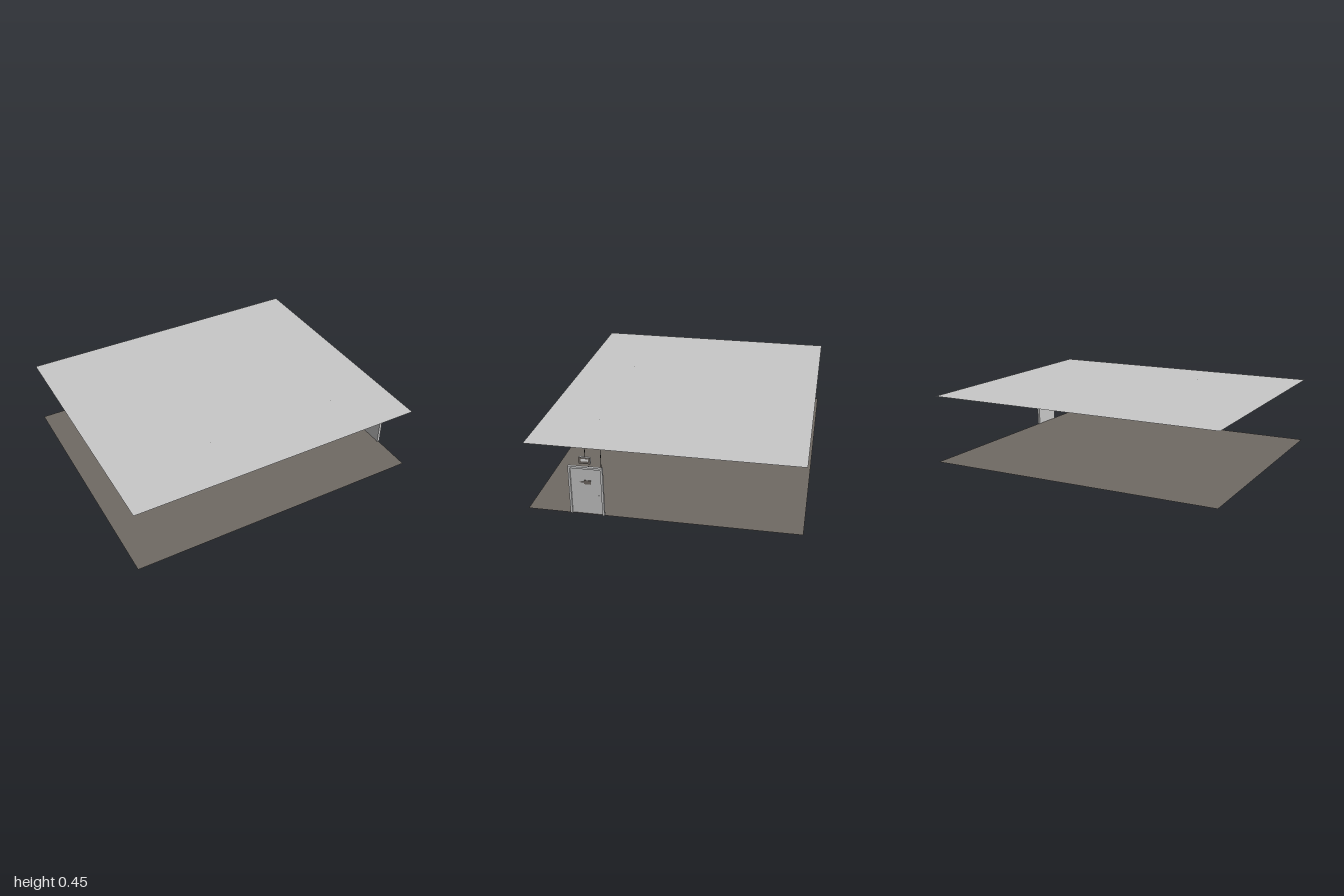
import * as THREE from 'three';

export function createModel() {
  const model = new THREE.Group();
  const mat = (name, color, side = THREE.FrontSide) => {
    const m = new THREE.MeshStandardMaterial({ color, side });
    m.name = name;
    return m;
  };
  const ceilingGrey = mat('ceiling grey', 0xc8c8c8, THREE.DoubleSide);
  const floorBrown = mat('floor brown', 0x706a64, THREE.DoubleSide);
  const doorGrey = mat('door grey', 0xc8c8c8);
  const metal = mat('dark metal', 0x3c3a38);
  const taupe = mat('taupe', 0x706a64);
  const white = mat('white', 0xe6e6e6);

  const add = (parent, name, geometry, material, x, y, z) => {
    const mesh = new THREE.Mesh(geometry, material);
    mesh.name = name;
    mesh.position.set(x, y, z);
    parent.add(mesh);
    return mesh;
  };
  // Box given by its lower and upper corners
  const box = (parent, name, material, [x0, y0, z0], [x1, y1, z1]) =>
    add(parent, name, new THREE.BoxGeometry(x1 - x0, y1 - y0, z1 - z0), material,
      (x0 + x1) / 2, (y0 + y1) / 2, (z0 + z1) / 2);
  const group = (name) => {
    const g = new THREE.Group();
    g.name = name;
    model.add(g);
    return g;
  };

  // Open room: floor and ceiling sheets
  const sheet = new THREE.PlaneGeometry(1.993, 1.684).rotateX(-Math.PI / 2);
  add(model, 'floor', sheet, floorBrown, -0.0035, 0, 0);
  add(model, 'ceiling', sheet, ceilingGrey, -0.0035, 0.449, 0);

  // Tiny ceiling fixings
  for (const x of [-0.31, 0.595])
    box(model, 'ceilingFixing', metal, [x - 0.002, 0.448, 0.479], [x + 0.002, 0.4495, 0.483]);

  // Door frame around a recessed leaf
  const door = group('door');
  for (const [z0, z1] of [[0.357, 0.37], [0.558, 0.571]])
    box(door, 'framePost', doorGrey, [0.982, 0, z0], [1, 0.312, z1]);
  box(door, 'frameHead', doorGrey, [0.982, 0.312, 0.357], [1, 0.325, 0.571]);
  box(door, 'doorLeaf', doorGrey, [0.983, 0.002, 0.37], [0.99, 0.312, 0.558]);

  // Handles on both faces
  for (const [x, side] of [[0.99, 1], [0.983, -1]]) {
    const knob = add(door, 'handle', new THREE.CylinderGeometry(0.004, 0.004, 0.006, 12),
      side > 0 ? doorGrey : metal, x + side * 0.003, 0.133, 0.388);
    knob.rotation.z = Math.PI / 2;
  }

  // Small plate with a stem on the outer face
  box(door, 'doorPlate', taupe, [0.99, 0.207, 0.433], [0.994, 0.233, 0.475]);
  box(door, 'plateStem', taupe, [0.99, 0.218, 0.475], [0.994, 0.222, 0.502]);

  // Door closer on the inner face
  const closer = group('doorCloser');
  box(closer, 'closerBody', metal, [0.968, 0.296, 0.43], [0.983, 0.308, 0.49]);
  box(closer, 'closerArm', metal, [0.957, 0.311, 0.45], [0.982, 0.314, 0.456]);

  // Hanging sign box with a bordered face on each side
  const sign = group('sign');
  box(sign, 'signBody', white, [0.984, 0.347, 0.428], [0.996, 0.391, 0.5]);
  for (const x of [0.983, 0.996]) {
    box(sign, 'signFace', taupe, [x, 0.348, 0.429], [x + 0.001, 0.39, 0.499]);
    box(sign, 'signPanel', white, [x - 0.0004, 0.364, 0.44], [x + 0.0014, 0.38, 0.488]);
  }

  // Rods up to the ceiling
  const rod = (name, y0, z) => add(model, name,
    new THREE.CylinderGeometry(0.002, 0.002, 0.449 - y0, 8), metal, 0.991, (0.449 + y0) / 2, z);
  rod('signRod', 0.391, 0.461);
  rod('conduit', 0.325, 0.365);

  return model;
}
